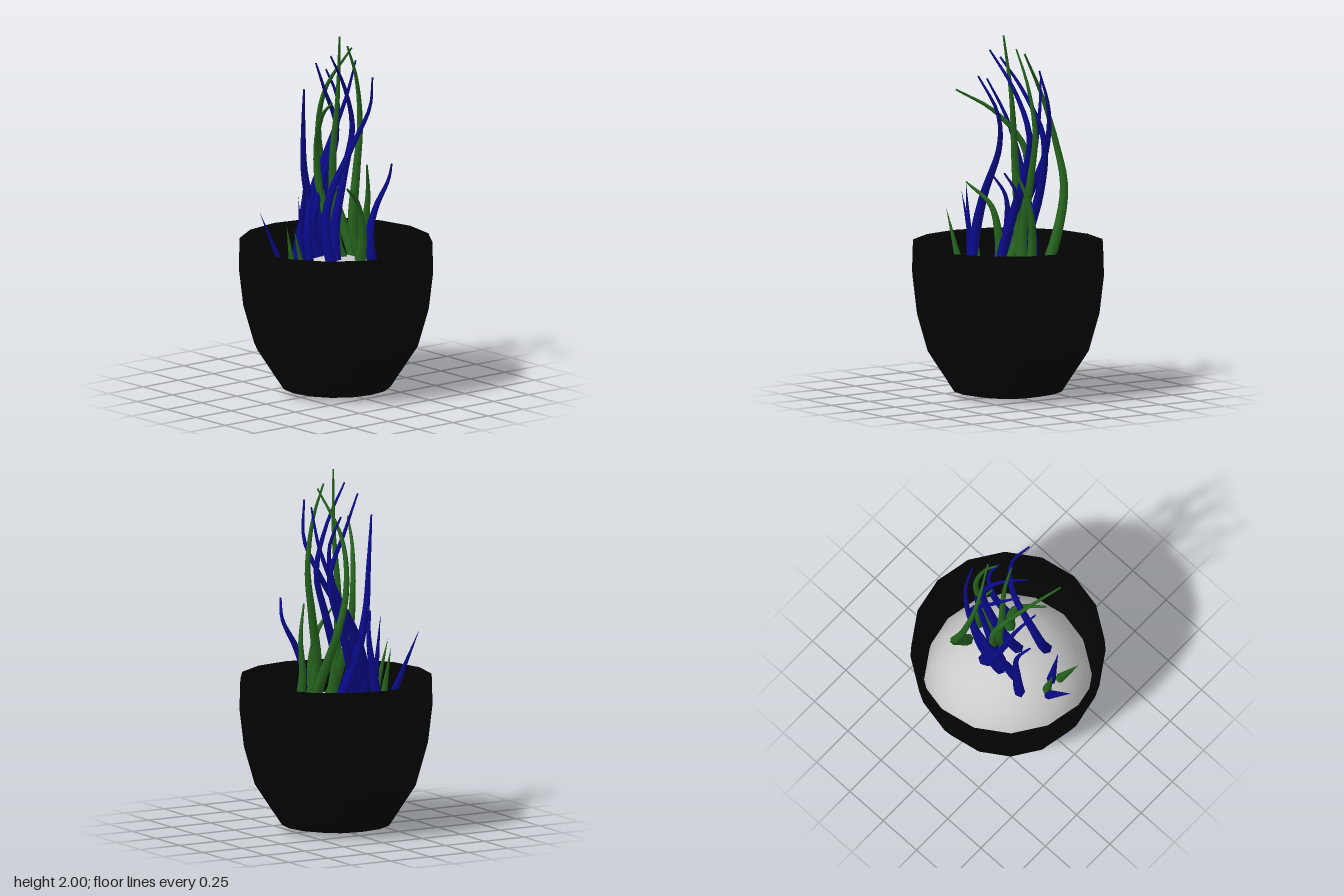
import * as THREE from 'three';

const material = (color, side = THREE.FrontSide) => new THREE.MeshStandardMaterial({ color, side });
const SIDES = 16;

function lathe(name, profile, mat) {
  const points = profile.map(([r, y]) => new THREE.Vector2(r, y));
  const mesh = new THREE.Mesh(new THREE.LatheGeometry(points, SIDES), mat);
  mesh.name = name;
  return mesh;
}

// Height of the rounded soil at a distance from the centre
const SOIL_RADIUS = 0.46;
const soilHeight = (r) => 0.3 + Math.sqrt(SOIL_RADIUS ** 2 - r * r);

// Tube along a path, narrowing from its base to a fine tip
function blade(name, path, mat, baseRadius = 0.034, tipRadius = 0.005) {
  const curve = new THREE.CatmullRomCurve3(path.map((p) => new THREE.Vector3(...p)));
  const steps = 20, sides = 6;
  const geometry = new THREE.TubeGeometry(curve, steps, 1, sides);
  const pos = geometry.attributes.position;
  const v = new THREE.Vector3();
  for (let i = 0; i <= steps; i++) {
    const t = i / steps;
    const centre = curve.getPointAt(t);
    const radius = THREE.MathUtils.lerp(baseRadius, tipRadius, t);
    for (let j = 0; j <= sides; j++) {
      const k = i * (sides + 1) + j;
      v.fromBufferAttribute(pos, k).sub(centre).multiplyScalar(radius).add(centre);
      pos.setXYZ(k, v.x, v.y, v.z);
    }
  }
  const mesh = new THREE.Mesh(geometry, mat);
  mesh.name = name;
  return mesh;
}

// Straight cone from the soil to a point
function spike(name, [x, z], tip, mat) {
  const base = new THREE.Vector3(x, soilHeight(Math.hypot(x, z)) - 0.02, z);
  const axis = new THREE.Vector3(...tip).sub(base);
  const length = axis.length();
  const geometry = new THREE.ConeGeometry(0.027, length, 8).translate(0, length / 2, 0);
  const mesh = new THREE.Mesh(geometry, mat);
  mesh.quaternion.setFromUnitVectors(new THREE.Vector3(0, 1, 0), axis.normalize());
  mesh.position.copy(base);
  mesh.name = name;
  return mesh;
}

export function createModel() {
  const group = new THREE.Group();
  group.name = 'pottedGrass';
  const blue = material(0x0a0a8c);
  const green = material(0x26641e);

  // Thin open pot
  group.add(lathe('pot', [
    [0, 0], [0.2, 0.01], [0.3, 0.03], [0.45, 0.26], [0.51, 0.47], [0.535, 0.68], [0.53, 0.85],
  ], material(0x040404, THREE.DoubleSide)));

  // Rounded soil, meeting the wall low inside the pot
  const dome = [];
  for (let i = 0; i <= 8; i++) {
    const r = SOIL_RADIUS * Math.cos((i / 8) * Math.PI / 2);
    dome.push([r, soilHeight(r)]);
  }
  group.add(lathe('soil', dome, material(0xcccccc)));

  // Long curved blades, from base to tip
  const blueBlades = [
    [[-0.13, 0.66, 0.17], [-0.16, 0.88, 0.11], [-0.12, 1.1, 0.08], [0.05, 1.4, 0.09], [0.115, 1.6, 0.15], [0.06, 1.8, 0.24]],
    [[0.14, 0.66, 0.16], [0.14, 0.88, 0.12], [0.2, 1.02, 0.1], [0.265, 1.17, 0.13], [0.24, 1.28, 0.19]],
    [[-0.04, 0.71, 0.05], [-0.01, 0.9, 0], [0.09, 1.2, -0.04], [0.15, 1.45, -0.04], [0.06, 1.7, 0], [-0.09, 1.91, 0.06]],
    [[-0.2, 0.66, -0.12], [-0.17, 0.87, -0.11], [-0.155, 1.08, -0.09], [-0.2, 1.2, -0.03]],
    [[0.07, 0.7, -0.12], [0, 0.88, -0.16], [-0.09, 1.2, -0.16], [-0.15, 1.5, -0.1], [-0.22, 1.73, -0.01]],
    [[-0.05, 0.69, -0.1], [-0.02, 0.87, -0.14], [0.06, 1.12, -0.17], [0.13, 1.42, -0.15], [0, 1.68, -0.1], [-0.12, 1.86, -0.03]],
    [[-0.13, 0.68, -0.07], [-0.12, 0.86, -0.11], [-0.04, 1.08, -0.16], [0.1, 1.34, -0.18], [0.19, 1.6, -0.14], [0.2, 1.82, -0.07]],
    [[-0.03, 0.7, -0.09], [-0.07, 0.9, -0.12], [0, 1.12, -0.13], [0.09, 1.38, -0.12], [0.12, 1.6, -0.13], [0.07, 1.77, -0.17]],
  ];
  const greenBlades = [
    [[0.04, 0.71, 0.02], [0.02, 0.87, -0.05], [-0.01, 1.12, -0.13], [-0.03, 1.36, -0.13], [-0.11, 1.56, 0.01], [-0.2, 1.69, 0.21]],
    [[0.05, 0.71, -0.03], [0.03, 0.95, -0.05], [0.01, 1.3, -0.04], [0.02, 1.65, -0.01], [0, 2, 0.03]],
    [[0.21, 0.66, -0.08], [0.2, 0.88, -0.18], [0.15, 1.15, -0.27], [0.09, 1.38, -0.26], [0.07, 1.65, -0.18], [0.13, 1.91, -0.02]],
    [[0.16, 0.69, 0.02], [0.13, 0.92, -0.01], [0.17, 1.2, -0.03], [0.205, 1.47, -0.04], [0.16, 1.74, -0.02], [0.08, 1.93, 0]],
    [[0.08, 0.7, 0.1], [0.09, 0.88, 0.12], [0.04, 1.07, 0.14], [-0.1, 1.19, 0.21]],
    [[0.23, 0.66, 0.02], [0.22, 0.86, -0.01], [0.22, 1.08, 0.01], [0.17, 1.26, 0.06]],
  ];
  blueBlades.forEach((path, i) => group.add(blade(`blueBlade${i + 1}`, path, blue)));
  greenBlades.forEach((path, i) => group.add(blade(`greenBlade${i + 1}`, path, green)));

  // Cluster of young straight shoots
  [
    [[-0.31, -0.01], [-0.51, 1.07, -0.04], blue],
    [[-0.27, 0.055], [-0.32, 1.15, 0.06], blue],
    [[-0.29, 0.1], [-0.41, 1.0, 0.13], green],
    [[-0.29, 0], [-0.345, 0.98, -0.01], green],
  ].forEach(([base, tip, mat], i) => group.add(spike(`shoot${i + 1}`, base, tip, mat)));

  return group;
}
